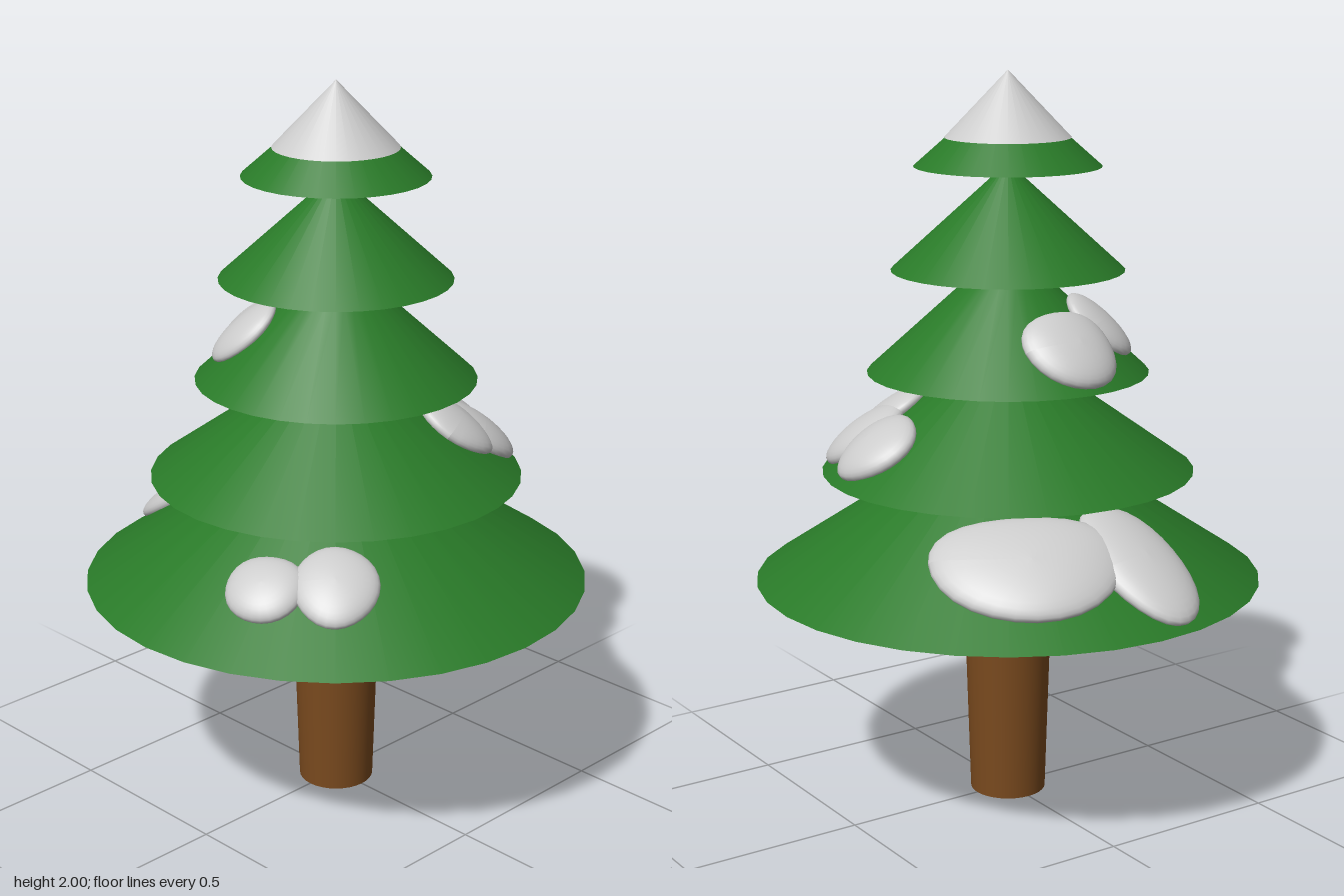
import * as THREE from 'three';

const SIDES = 32;
const green = new THREE.MeshStandardMaterial({ color: 0x297a28 });
const brown = new THREE.MeshStandardMaterial({ color: 0x7a4a1e });
const snow = new THREE.MeshStandardMaterial({ color: 0xcccccc });

// Foliage tiers, bottom to top: base height, base radius, top height, top radius
const TIERS = [
  { y: 0.63, r: 0.69, top: 1.09, rTop: 0 },
  { y: 0.93, r: 0.505, top: 1.29, rTop: 0 },
  { y: 1.2, r: 0.38, top: 1.445, rTop: 0.112 },
  { y: 1.475, r: 0.313, top: 1.76, rTop: 0 },
  { y: 1.75, r: 0.25, top: 1.97, rTop: 0 },
];

// Snow lobes: tier, angle from front toward +x (degrees), distance from the axis,
// half width around the tier, half length down the slope, half thickness
const PATCHES = {
  snowBack: [
    [0, 189, 0.5, 0.135, 0.21, 0.045],
    [0, 153, 0.47, 0.26, 0.17, 0.045],
  ],
  snowLeft: [
    [1, 81, 0.385, 0.12, 0.12, 0.045],
    [1, 56, 0.385, 0.12, 0.13, 0.045],
    [1, 43, 0.32, 0.11, 0.125, 0.04],
  ],
  snowRight: [
    [0, -67, 0.485, 0.11, 0.1, 0.04],
    [0, -45, 0.465, 0.11, 0.12, 0.04],
  ],
  snowUpperBack: [
    [2, 184, 0.28, 0.14, 0.125, 0.04],
    [2, 228, 0.245, 0.1, 0.115, 0.035],
  ],
};

function frustum(name, rTop, rBottom, y0, y1, material) {
  const geo = new THREE.CylinderGeometry(rTop, rBottom, y1 - y0, SIDES, 1);
  geo.translate(0, (y0 + y1) / 2, 0);
  const mesh = new THREE.Mesh(geo, material);
  mesh.name = name;
  return mesh;
}

// A flattened, gently lumpy ellipsoid lying on the slope of a tier
function snowLobe([level, degrees, radius, width, length, thickness]) {
  const tier = TIERS[level];
  const slope = (tier.top - tier.y) / (tier.r - tier.rTop);
  const geo = new THREE.SphereGeometry(1, 28, 18);
  const p = geo.attributes.position;
  for (let i = 0; i < p.count; i++) {
    const x = p.getX(i), z = p.getZ(i);
    const swell = 1 + 0.05 * Math.sin(2.5 * x + degrees) * Math.cos(2 * z);
    // the slab bends around the cone toward its sides
    const bend = (x * width) ** 2 / (2 * radius) * 0.7;
    p.setXYZ(i, x * width * swell, p.getY(i) * thickness - bend * slope * 0.8,
      z * length * swell - bend);
  }
  geo.computeVertexNormals();
  const mesh = new THREE.Mesh(geo, snow);
  mesh.name = 'snowLobe';
  mesh.position.set(0, tier.y + (tier.r - radius) * slope + 0.008, radius);
  mesh.rotation.x = Math.atan(slope);
  const turn = new THREE.Group();
  turn.rotation.y = THREE.MathUtils.degToRad(degrees);
  turn.add(mesh);
  return turn;
}

export function createModel() {
  const tree = new THREE.Group();
  tree.name = 'snowyTree';

  // Trunk, slightly wider at the top
  tree.add(frustum('trunk', 0.124, 0.104, 0, 0.66, brown));

  // Foliage and the short neck under the fourth tier
  TIERS.forEach((t, i) =>
    tree.add(frustum(`foliageTier${i + 1}`, t.rTop, t.r, t.y, t.top, green)));
  tree.add(frustum('neck', 0.112, 0.112, 1.44, 1.48, green));

  // Snow cap on the tip
  tree.add(frustum('snowCap', 0, 0.168, 1.825, 2, snow));

  // Snow patches resting on the tiers
  for (const [name, lobes] of Object.entries(PATCHES)) {
    const patch = new THREE.Group();
    patch.name = name;
    lobes.forEach((lobe) => patch.add(snowLobe(lobe)));
    tree.add(patch);
  }
  return tree;
}
